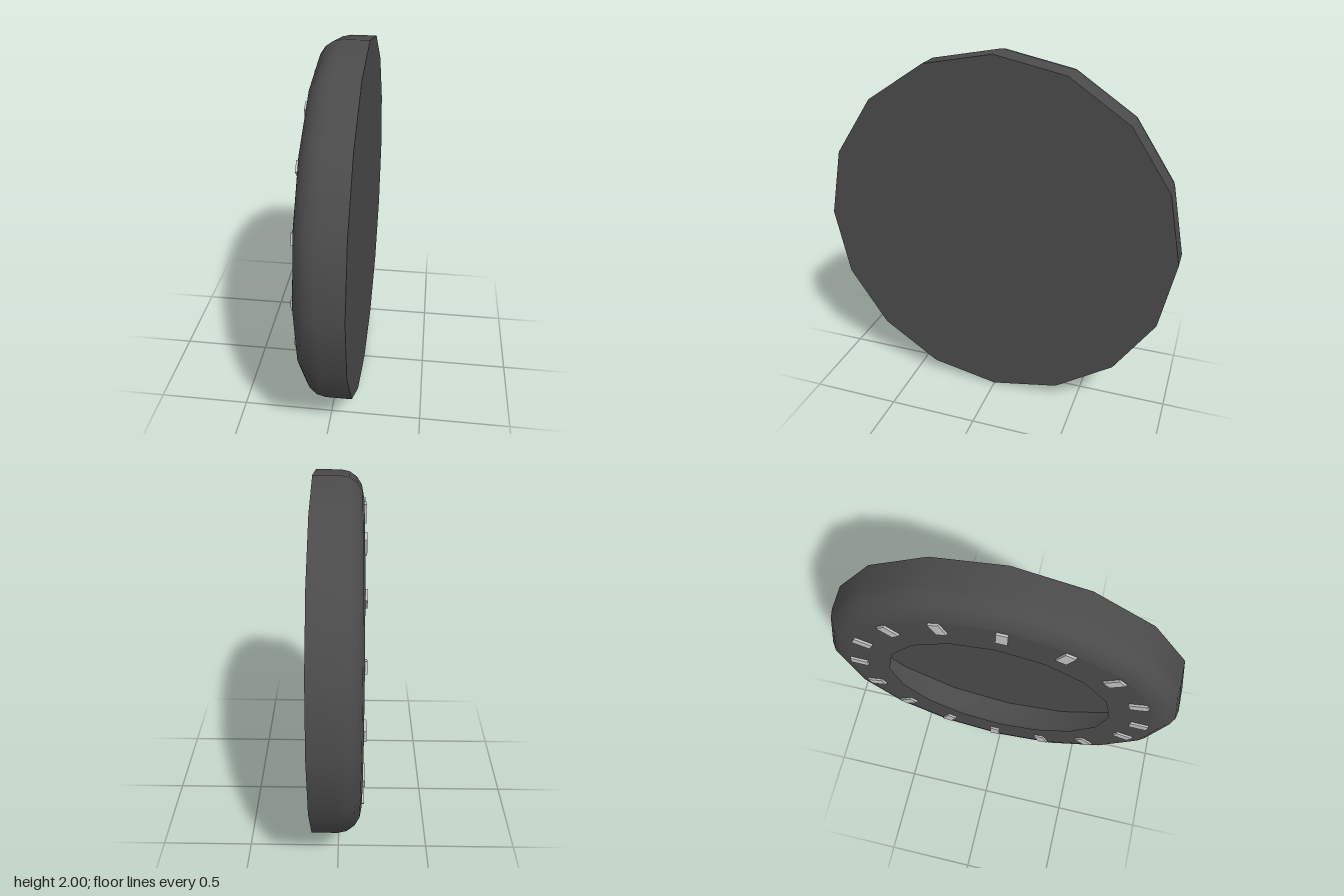
import * as THREE from 'three';

const SIDES = 16;
const BACK = -0.137, FACE = 0.125, MARK_TOP = 0.137;

export function createModel() {
  // The body is a thin hollow shell, seen from inside through the opening
  const bodyMat = new THREE.MeshStandardMaterial({ color: 0x4b4b4b, side: THREE.DoubleSide });
  bodyMat.name = 'dark grey';
  const markMat = new THREE.MeshStandardMaterial({ color: 0xc4c4c4 });
  markMat.name = 'light grey';

  const model = new THREE.Group();
  model.name = 'disc';
  // The disc is built around y, then tipped so its dial faces -x
  const disc = new THREE.Group();
  disc.name = 'dialBody';
  disc.rotation.z = Math.PI / 2;
  disc.position.y = 1;
  model.add(disc);

  // Each band is its own lathe, so the edges between bands stay sharp
  const band = (name, points) => {
    const geo = new THREE.LatheGeometry(points.map(([r, h]) => new THREE.Vector2(r, h)), SIDES);
    const mesh = new THREE.Mesh(geo, bodyMat);
    mesh.name = name;
    disc.add(mesh);
  };

  // Outer rim: straight side, then a quarter-round shoulder
  const rim = [[1, BACK]];
  for (let i = 0; i <= 4; i++) {
    const a = (i / 4) * Math.PI / 2;
    rim.push([0.87 + 0.13 * Math.cos(a), FACE * Math.sin(a)]);
  }
  band('outerRim', rim);
  band('backPlate', [[0, BACK], [1, BACK]]);
  // Flat ring around the open centre
  band('dialRing', [[0.87, FACE], [0.63, FACE]]);

  // Ring of raised marks, turned slightly off the corners
  const markGeo = new THREE.BoxGeometry(0.1, 0.03, 0.058);
  for (let i = 0; i < SIDES; i++) {
    const degrees = i === 5 ? 110.5 : i * 22.5 + 1.8;
    const a = THREE.MathUtils.degToRad(degrees);
    const mark = new THREE.Mesh(markGeo, markMat);
    mark.name = 'dialMark' + (i + 1);
    mark.position.set(0.8 * Math.cos(a), MARK_TOP - 0.015, 0.8 * Math.sin(a));
    mark.rotation.y = -a;
    disc.add(mark);
  }
  return model;
}
